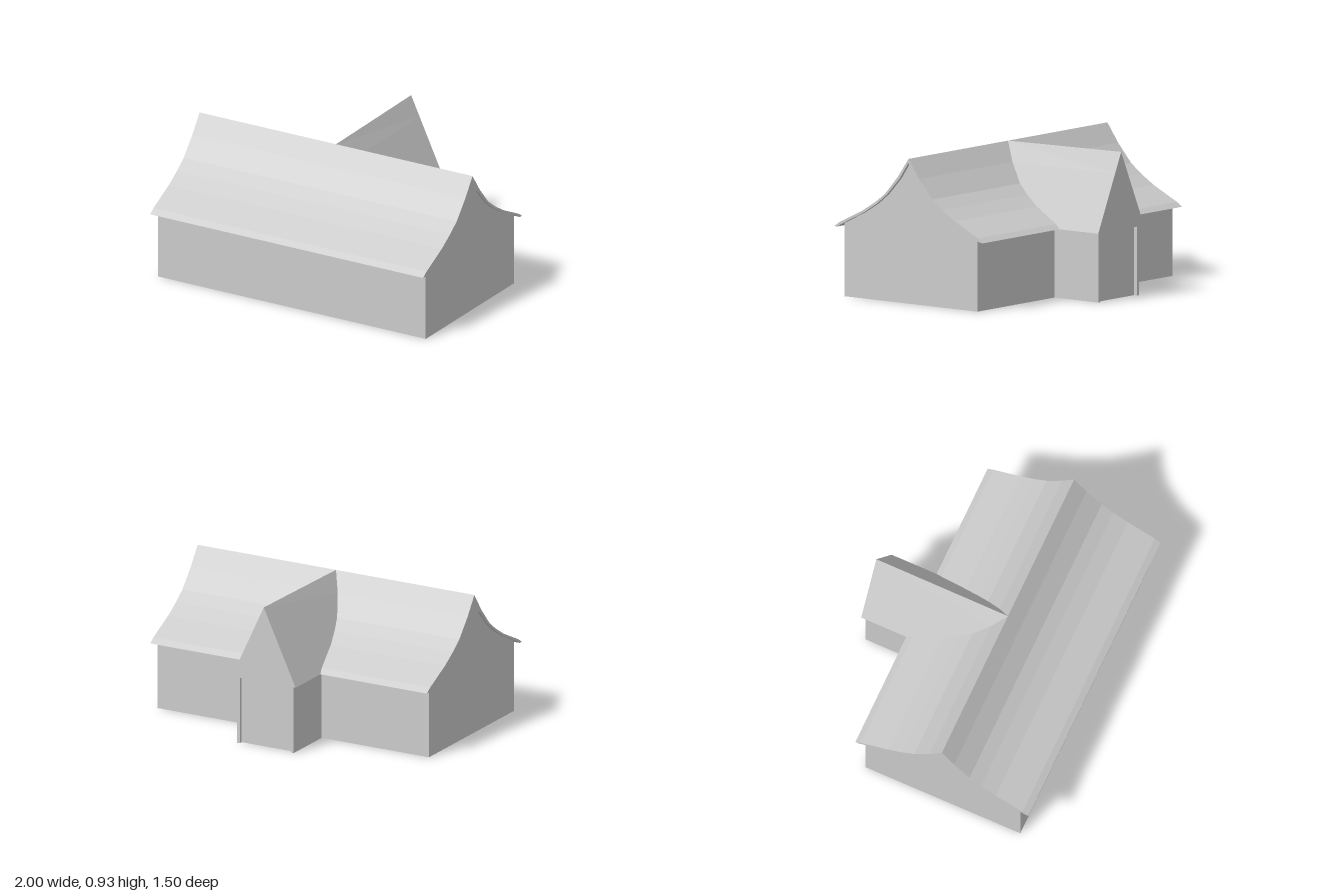
import * as THREE from 'three';

const material = new THREE.MeshStandardMaterial({ color: 0xcccccc, flatShading: true, side: THREE.DoubleSide });

// Curved roof slope as [distance from ridge, height], ridge to eave
const RIDGE_Z = 0.155;
const OUTER = [[0, 0.92], [0.085, 0.8], [0.19, 0.68], [0.27, 0.62], [0.37, 0.558], [0.555, 0.468], [0.595, 0.44]];
const INNER = [[0, 0.895], [0.07, 0.79], [0.17, 0.68], [0.25, 0.615], [0.35, 0.552], [0.53, 0.462], [0.57, 0.44]];

const toShape = (pts) => new THREE.Shape(pts.map(([x, y]) => new THREE.Vector2(x, y)));

function addMesh(group, name, geometry) {
  const mesh = new THREE.Mesh(geometry, material);
  mesh.name = name;
  group.add(mesh);
  return mesh;
}

// Mirror a slope about the ridge: front eave, ridge, back eave
function bothSlopes(slope) {
  const front = slope.map(([d, y]) => [RIDGE_Z + d, y]).reverse();
  const back = slope.slice(1).map(([d, y]) => [RIDGE_Z - d, y]);
  return [...front, ...back];
}

// Extrude a (z, y) outline along x between two positions
function extrudeX(pts, x0, x1) {
  const g = new THREE.ExtrudeGeometry(toShape(pts), { depth: x1 - x0, bevelEnabled: false });
  return g.rotateY(-Math.PI / 2).translate(x1, 0, 0);
}

// T-shaped plan, mirrored from its +x half given as [x, z]
function plan(half) {
  const pts = [...half, ...half.map(([x, z]) => [-x, z]).reverse()];
  return pts.map(([x, z]) => [x, -z]);
}

function wallGeometry() {
  const shape = toShape(plan([[0.98, 0.685], [0.98, -0.38], [0.205, -0.38], [0.205, -0.73], [0.185, -0.73], [0.185, -0.705]]));
  shape.holes.push(toShape(plan([[0.96, 0.665], [0.96, -0.36], [0.185, -0.36], [0.185, -0.685]])));
  return new THREE.ExtrudeGeometry(shape, { depth: 0.46, bevelEnabled: false }).rotateX(-Math.PI / 2);
}

// Wing roof: straight slopes that end along the curve of the main roof
function wingRoofGeometry() {
  const top = 0.932, eave = 0.44, half = 0.23, back = -0.75;
  const pos = [];
  const quad = (a, b, c, d) => pos.push(...a, ...b, ...c, ...a, ...c, ...d);
  const xAt = (y) => half * (top - y) / (top - eave);
  for (const s of [1, -1]) {
    for (let i = 0; i < OUTER.length - 1; i++) {
      const [[d0, y0], [d1, y1]] = [OUTER[i], OUTER[i + 1]];
      const x0 = i === 0 ? 0 : s * xAt(y0), x1 = s * xAt(y1);
      const rearY = i === 0 ? top : y0;
      const a = [x0, y0, RIDGE_Z - d0], b = [x1, y1, RIDGE_Z - d1];
      const c = [x1, y1, back], d = [x0, rearY, back];
      if (s > 0) quad(a, b, c, d);
      else quad(d, c, b, a);
    }
  }
  // Closed gable and flat soffit
  pos.push(half, eave, back, -half, eave, back, 0, top, back);
  quad([-half, eave, back], [half, eave, back], [half, eave, -0.38], [-half, eave, -0.38]);
  const g = new THREE.BufferGeometry();
  g.setAttribute('position', new THREE.Float32BufferAttribute(pos, 3));
  g.computeVertexNormals();
  return g;
}

export function createModel() {
  const model = new THREE.Group();
  model.name = 'house';

  addMesh(model, 'walls', wallGeometry());

  // Main roof shell
  addMesh(model, 'mainRoof', extrudeX([...bothSlopes(OUTER), ...bothSlopes(INNER).reverse()], -1, 1));

  // Gable panels above the end walls
  const gable = [[0.685, 0.46], ...bothSlopes(INNER.slice(0, -1)), [-0.38, 0.46]];
  addMesh(model, 'leftGable', extrudeX(gable, 0.96, 0.98));
  addMesh(model, 'rightGable', extrudeX(gable, -0.98, -0.96));

  addMesh(model, 'wingRoof', wingRoofGeometry());
  return model;
}
